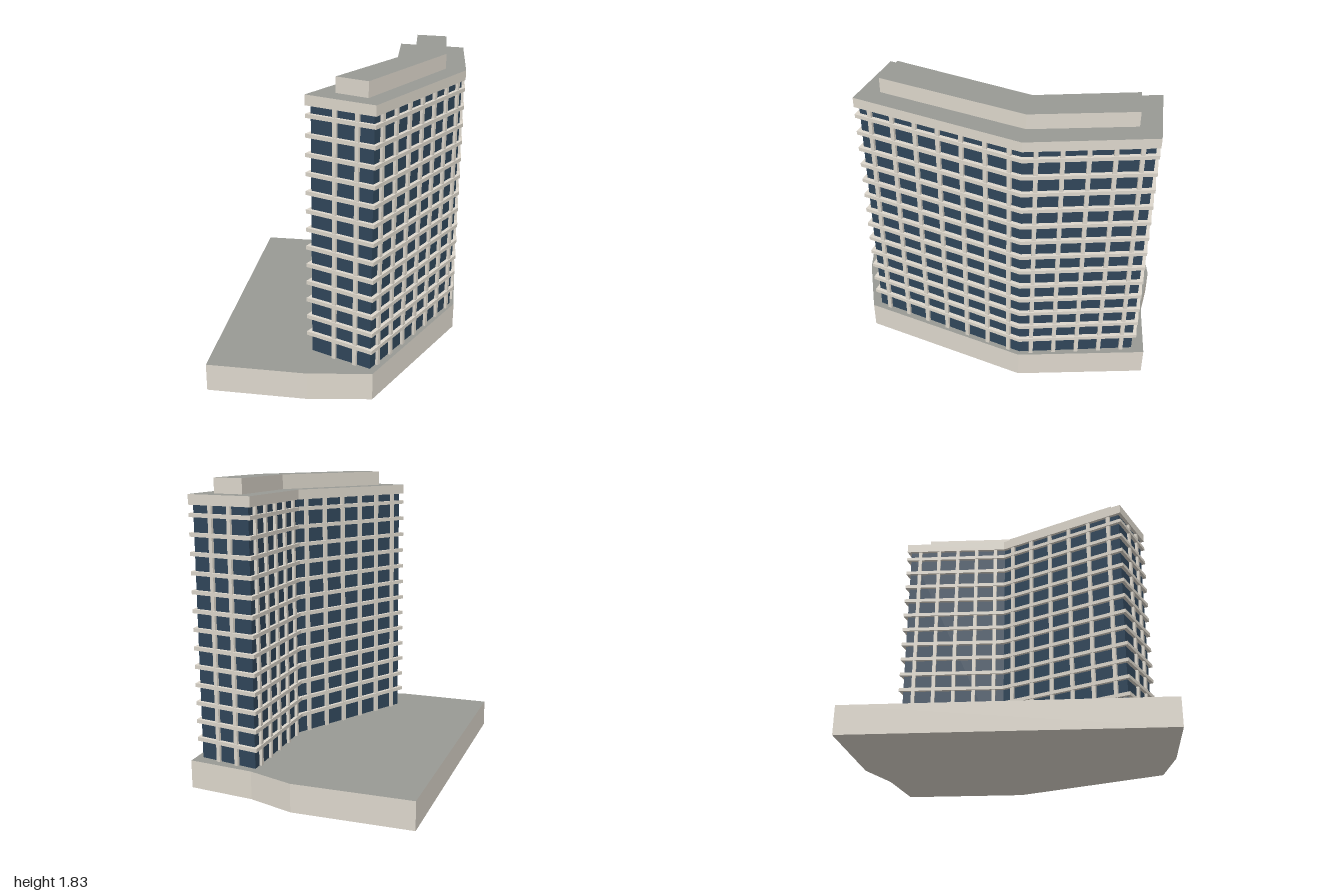
import * as THREE from 'three';

const concrete = new THREE.MeshStandardMaterial({ color: 0xddd7cc });
const roofGrey = new THREE.MeshStandardMaterial({ color: 0x999a95 });
const glass = new THREE.MeshStandardMaterial({ color: 0x30465a });
concrete.name = 'pale concrete';
roofGrey.name = 'grey roof';
glass.name = 'dark blue glass';

// Plan outlines as [x, z]
const podiumPlan = [[-0.8, -0.83], [-0.09, -0.985], [0.21, -0.955], [0.625, -1], [0.793, -0.25],
  [0.553, 0.75], [0.2, 0.88], [-0.385, 1]];
const towerPlan = [[0.185, -0.93], [0.617, -0.945], [0.787, -0.25], [0.537, 0.73], [0.107, 0.645], [0.35, -0.25]];
const penthousePlan = [[0.33, -0.815], [0.527, -0.825], [0.663, -0.25], [0.452, 0.6], [0.25, 0.555], [0.47, -0.25]];

// Upright prism over a plan, with separate materials for top, sides and underside
function prism(name, plan, y0, y1, top, sides, underside = sides) {
  const shape = new THREE.Shape(plan.map(([x, z]) => new THREE.Vector2(x, -z)));
  const geo = new THREE.ExtrudeGeometry(shape, { depth: y1 - y0, bevelEnabled: false });
  geo.rotateX(-Math.PI / 2);
  geo.translate(0, y0, 0);
  // The first half of the cap triangles is the underside, the second half the top
  const [caps, walls] = geo.groups.map((g) => ({ ...g }));
  const half = caps.count / 2;
  geo.clearGroups();
  geo.addGroup(caps.start, half, 2);
  geo.addGroup(caps.start + half, half, 0);
  geo.addGroup(walls.start, walls.count, 1);
  const mesh = new THREE.Mesh(geo, [top, sides, underside]);
  mesh.name = name;
  return mesh;
}

// Move every edge of a plan inwards by d, with mitred corners
function inset(plan, d) {
  const n = plan.length;
  const normal = (i) => {
    const [ax, az] = plan[i % n], [bx, bz] = plan[(i + 1) % n];
    const l = Math.hypot(bx - ax, bz - az);
    return [-(bz - az) / l, (bx - ax) / l];
  };
  return plan.map(([x, z], i) => {
    const a = normal(i + n - 1), b = normal(i);
    const k = d / (1 + a[0] * b[0] + a[1] * b[1]);
    return [x + (a[0] + b[0]) * k, z + (a[1] + b[1]) * k];
  });
}

// Fractions along a wall that put one fin at the middle of each of n equal bays
const centred = (n) => Array.from({ length: n }, (_, i) => (i + 0.5) / n);

// Fin positions on each wall, in the order of the tower plan
const finRows = [
  [0.33, 0.67], // back end
  centred(5),   // outer wall, back wing
  centred(7),   // outer wall, front wing
  [0.245, 0.6], // front end
  centred(6),   // inner wall, front wing
  centred(5),   // inner wall, back wing
];

export function createModel() {
  const model = new THREE.Group();
  model.name = 'officeTower';
  const podiumTop = 0.17, wallTop = 1.68;
  const wallPlan = inset(towerPlan, 0.022);

  model.add(prism('podium', podiumPlan, 0, podiumTop, roofGrey, concrete));
  model.add(prism('glassWalls', wallPlan, podiumTop, wallTop, glass, glass));
  model.add(prism('roofParapet', towerPlan, wallTop, 1.74, roofGrey, concrete));
  model.add(prism('penthouse', penthousePlan, 1.74, 1.83, roofGrey, concrete));

  // Floor bands
  const bands = new THREE.Group();
  bands.name = 'floorBands';
  for (let i = 0; i < 13; i++) {
    const y = 0.29 + i * 0.111;
    bands.add(prism('floorBand', towerPlan, y - 0.0115, y + 0.0115, concrete, concrete));
  }
  model.add(bands);

  // Vertical fins
  const fins = new THREE.Group();
  fins.name = 'fins';
  const finGeo = new THREE.BoxGeometry(0.024, wallTop - podiumTop, 0.034);
  finRows.forEach((row, i) => {
    const [ax, az] = wallPlan[i], [bx, bz] = wallPlan[(i + 1) % wallPlan.length];
    for (const t of row) {
      const fin = new THREE.Mesh(finGeo, concrete);
      fin.name = 'fin';
      fin.position.set(ax + (bx - ax) * t, (podiumTop + wallTop) / 2, az + (bz - az) * t);
      fin.rotation.y = Math.atan2(az - bz, bx - ax);
      fins.add(fin);
    }
  });
  model.add(fins);
  return model;
}
